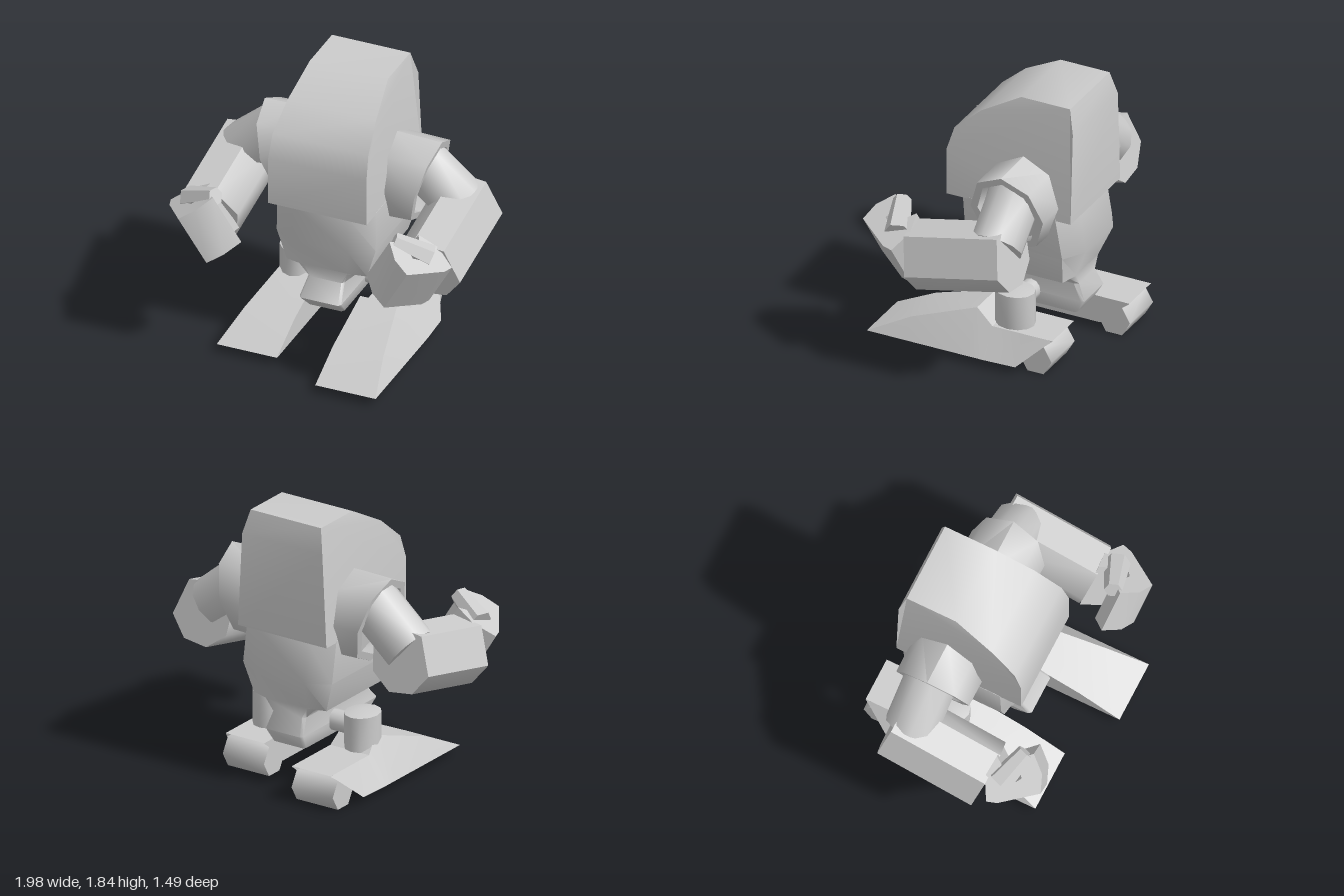
import * as THREE from 'three';
import { toCreasedNormals } from 'three/addons/utils/BufferGeometryUtils.js';

const V = (x, y, z) => new THREE.Vector3(x, y, z);
const grey = new THREE.MeshStandardMaterial({ color: 0xcccccc, side: THREE.DoubleSide });

// Skin rings of equal point count; an open skin has no caps and no closing strip
function loft(rings, open = false) {
  const n = rings[0].length, tris = [];
  for (let r = 0; r < rings.length - 1; r++) {
    for (let i = 0; i < (open ? n - 1 : n); i++) {
      const j = (i + 1) % n, [p, q] = [rings[r], rings[r + 1]];
      tris.push([p[i], p[j], q[j]], [p[i], q[j], q[i]]);
    }
  }
  const last = rings[rings.length - 1];
  for (let i = 1; i < n - 1 && !open; i++) {
    tris.push([rings[0][0], rings[0][i + 1], rings[0][i]], [last[0], last[i], last[i + 1]]);
  }
  // Turn the faces outward by the sign of the enclosed volume
  const volume = tris.reduce((s, [a, b, c]) => s + a.dot(b.clone().cross(c)), 0);
  const points = tris.flatMap(([a, b, c]) => (volume < 0 ? [a, c, b] : [a, b, c]));
  return new THREE.BufferGeometry().setFromPoints(points);
}

// Mirror across x = 0, keeping faces outward
function mirror(geo) {
  const g = geo.index ? geo.toNonIndexed() : geo;
  const p = g.attributes.position, a = V(0, 0, 0), b = V(0, 0, 0);
  g.scale(-1, 1, 1);
  for (let i = 0; i < p.count; i += 3) {
    a.fromBufferAttribute(p, i + 1);
    b.fromBufferAttribute(p, i + 2);
    p.setXYZ(i + 1, b.x, b.y, b.z);
    p.setXYZ(i + 2, a.x, a.y, a.z);
  }
  return g;
}

// Cylinder from a to b
function rod(a, b, radius, sides) {
  const d = b.clone().sub(a);
  const g = new THREE.CylinderGeometry(radius, radius, d.length(), sides);
  g.applyQuaternion(new THREE.Quaternion().setFromUnitVectors(V(0, 1, 0), d.normalize()));
  const m = a.clone().add(b).multiplyScalar(0.5);
  return g.translate(m.x, m.y, m.z);
}

function add(parent, name, geo, side = 1, crease = 0.9) {
  const g = side < 0 ? mirror(geo) : geo;
  g.deleteAttribute('normal');
  g.deleteAttribute('uv');
  g.computeVertexNormals();
  const mesh = new THREE.Mesh(toCreasedNormals(g, crease), grey);
  mesh.name = name;
  parent.add(mesh);
}

// Hood-like upper body: side profile extruded, narrowing to the top
function upperBody() {
  const zy = [[0.3, 1.05], [0.3, 1.38], [0.25, 1.54], [0.07, 1.7], [-0.2, 1.85], [-0.55, 1.85], [-0.59, 1.69], [-0.59, 1.05]];
  const shape = new THREE.Shape(zy.map(([z, y]) => new THREE.Vector2(-z, y)));
  const g = new THREE.ExtrudeGeometry(shape, { depth: 2, bevelEnabled: false });
  g.translate(0, 0, -1).rotateY(Math.PI / 2);
  const p = g.attributes.position;
  for (let i = 0; i < p.count; i++) {
    const t = Math.max(0, (p.getY(i) - 1.36) / 0.49);
    p.setX(i, p.getX(i) * (0.343 - 0.07 * t * t));
  }
  return g;
}

// Belly and crotch: chamfered sections, each y, narrow and full half-width, front z, side z range, back z
function lowerBody() {
  return loft([
    [1.06, 0.19, 0.345, 0.27, 0.15, -0.48, -0.58],
    [0.78, 0.19, 0.345, 0.25, 0.16, -0.53, -0.62],
    [0.57, 0.15, 0.28, 0.17, 0.15, -0.5, -0.53],
    [0.565, 0.15, 0.2, 0.17, 0.15, -0.5, -0.53],
    [0.49, 0.11, 0.125, 0.17, 0.15, -0.5, -0.53],
    [0.38, 0.13, 0.145, 0.27, 0.25, -0.56, -0.58],
    [0.28, 0.11, 0.125, 0.17, 0.15, -0.5, -0.52],
  ].map(([y, n, w, f, sf, sb, b]) => [
    [n, f], [w, sf], [w, sb], [n, b], [-n, b], [-w, sb], [-w, sf], [-n, f],
  ].map(([x, z]) => V(x, y, z))));
}

// Hollow wedge foot: sections along z with bottom y, top y, outer x at bottom and top
function foot() {
  return loft([
    [0.74, 0.06, 0.062, 0.6, 0.6],
    [0.46, 0.06, 0.2, 0.6, 0.53],
    [0.03, 0.06, 0.335, 0.6, 0.44],
    [-0.1, 0.06, 0.25, 0.6, 0.48],
    [-0.32, 0.06, 0.25, 0.59, 0.48],
    [-0.49, 0.215, 0.25, 0.5, 0.48],
    [-0.53, 0.245, 0.25, 0.48, 0.48],
  ].map(([z, y0, y1, xb, xt]) => [V(0.18, y0, z), V(0.18, y1, z), V(xt, y1, z), V(xb, y0, z)]), true);
}

// Octagonal shoulder sleeve with a slanted, recessed mouth
function shoulder(reach) {
  const ring = (x, ry, rz, slant) => Array.from({ length: 8 }, (_, i) => {
    const a = (i / 8) * Math.PI * 2, dy = Math.cos(a) * ry;
    return V(x + dy * slant, 1.15 + dy, -0.24 + Math.sin(a) * rz);
  });
  return loft([ring(0.28, 0.31, 0.26, 0), ring(reach, 0.3, 0.26, 0.27),
    ring(reach, 0.25, 0.21, 0.27), ring(reach - 0.1, 0.25, 0.21, 0.2)]);
}

// Forearm: seven-sided prism with flat outer panels and a rounded underside
function forearm() {
  const ring = (y, z) => [55, -15, -60, -105, -150, -195, -250].map((deg) => {
    const a = THREE.MathUtils.degToRad(deg), dy = Math.sin(a) * 0.222;
    return V(0.76 + Math.cos(a) * 0.23, y + dy, z + dy * 0.22);
  });
  return loft([ring(0.98, -0.385), ring(0.83, 0.285)]);
}

// Curled fist: hooked outline extruded along the tilted grip
function fist() {
  const outline = [[0.05, 0.28], [0.2, 0.35], [0.18, 0.42], [0.01, 0.65], [-0.11, 0.61], [-0.21, 0.51],
    [-0.14, 0.43], [-0.03, 0.5], [0.03, 0.46], [-0.1, 0.3]];
  const shape = new THREE.Shape(outline.map(([u, z]) => new THREE.Vector2(u, -z)));
  const g = new THREE.ExtrudeGeometry(shape, { depth: 0.36, bevelEnabled: false });
  g.translate(0, 0.48, -0.18).rotateX(-Math.PI / 2 + 0.12).rotateZ(-Math.PI / 6);
  return g.translate(0.7, 0.87, 0.48);
}

function thumb() {
  const g = new THREE.CylinderGeometry(0.06, 0.085, 0.26, 6);
  return g.rotateZ(Math.PI / 2 - 0.45).rotateY(0.35).translate(0.72, 1.05, 0.44);
}

export function createModel() {
  const model = new THREE.Group();
  model.name = 'robot';

  const body = new THREE.Group();
  body.name = 'body';
  body.position.x = 0.011;
  model.add(body);
  add(body, 'upperBody', upperBody(), 1, 0.6);
  add(body, 'lowerBody', lowerBody(), 1, 1);
  add(body, 'hipAxle', rod(V(-0.3, 0.38, -0.2), V(0.3, 0.38, -0.2), 0.07, 12));

  for (const side of [1, -1]) {
    const label = side > 0 ? 'left' : 'right';

    // Leg and foot, one foot a step behind the other
    const leg = new THREE.Group();
    leg.name = label + 'Leg';
    leg.position.x = 0.011;
    model.add(leg);
    const post = new THREE.LatheGeometry(
      [[0, 0.24], [0.115, 0.24], [0.115, 0.485], [0, 0.51]].map(([r, y]) => new THREE.Vector2(r, y)), 12);
    add(leg, label + 'Shin', post.scale(1, 1, 1.17).translate(0.355, 0, -0.2), side);
    const step = new THREE.Group();
    step.name = label + 'FootGroup';
    step.position.z = side > 0 ? 0 : -0.21;
    leg.add(step);
    add(step, label + 'Foot', foot(), side, 0.3);
    add(step, label + 'HeelRoller', rod(V(0.18, 0.105, -0.42), V(0.5, 0.105, -0.42), 0.115, 6), side, 1.1);

    // Arm, carried slightly higher on the right
    const arm = new THREE.Group();
    arm.name = label + 'Arm';
    arm.position.set(side > 0 ? 0.012 : -0.008, side > 0 ? -0.01 : 0.02, 0);
    model.add(arm);
    add(arm, label + 'Shoulder', shoulder(side > 0 ? 0.55 : 0.505), side);
    add(arm, label + 'UpperArm', rod(V(0.46, 1.27, -0.26), V(0.755, 1.02, -0.27), 0.177, 10), side);
    add(arm, label + 'Forearm', forearm(), side, 0.95);
    add(arm, label + 'Fist', fist(), side, 0.5);
    add(arm, label + 'Thumb', thumb(), side, 0.5);
  }
  return model;
}
